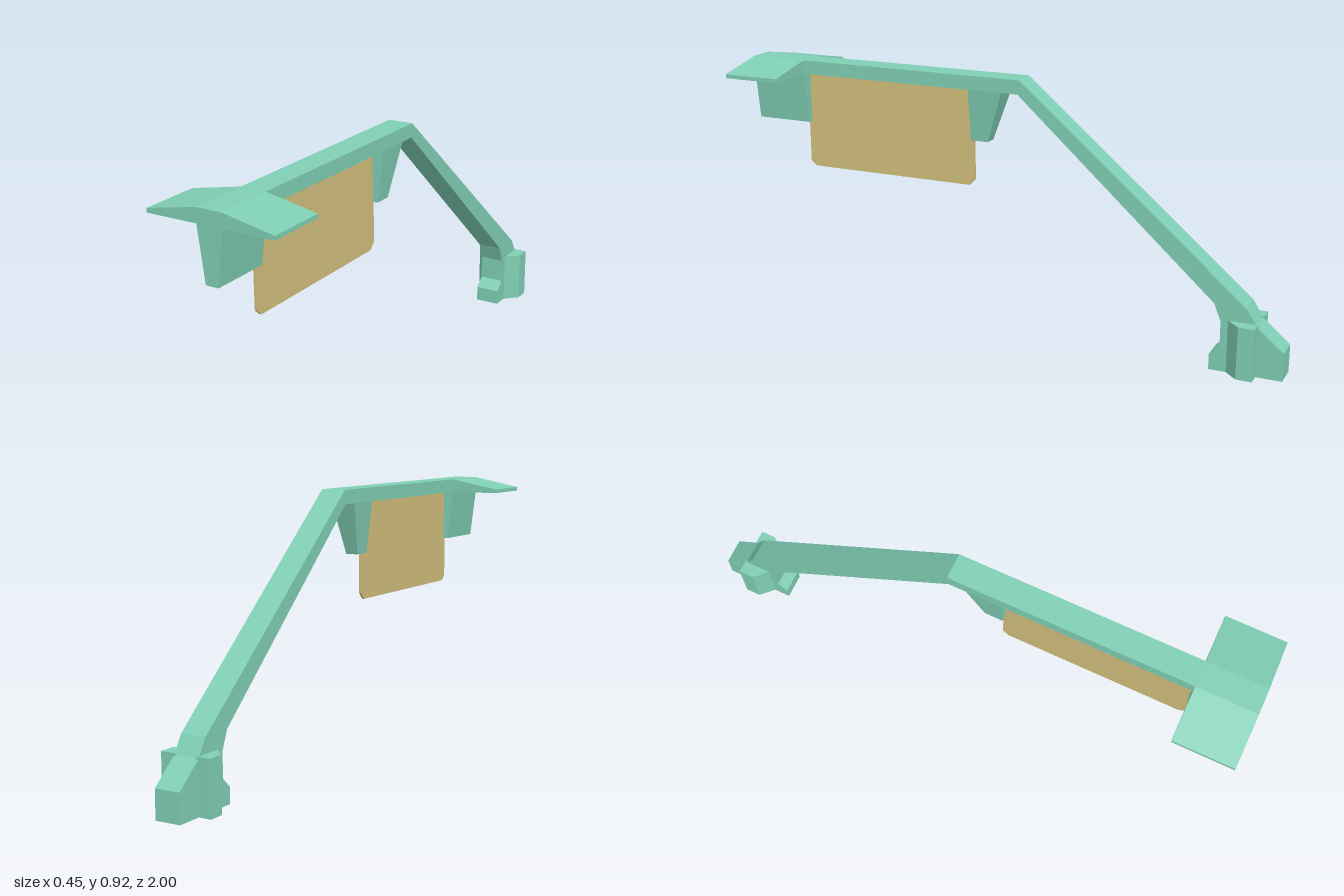
import * as THREE from 'three';

const green = new THREE.MeshStandardMaterial({ color: 0x80cfb5, flatShading: true });
const tan = new THREE.MeshStandardMaterial({ color: 0xd2be7c, flatShading: true });

const outline = (pts) => new THREE.Shape(pts.map(([a, b]) => new THREE.Vector2(a, b)));
const extrude = (pts, depth) =>
  new THREE.ExtrudeGeometry(outline(pts), { depth, bevelEnabled: false });

// Side profile given as [z, y], extruded across x and centred
function sideExtrude(pts, width) {
  return extrude(pts, width).translate(0, 0, -width / 2).rotateY(-Math.PI / 2);
}

// Bracket that narrows in x from top to bottom
function bracket(pts) {
  const top = 0.873, bottom = 0.69;
  const geo = sideExtrude(pts, 0.09);
  const p = geo.attributes.position;
  for (let i = 0; i < p.count; i++) {
    const t = (top - p.getY(i)) / (top - bottom);
    p.setX(i, p.getX(i) * THREE.MathUtils.lerp(1, 0.5, t));
  }
  geo.computeVertexNormals();
  return geo;
}

export function createModel() {
  const group = new THREE.Group();
  const add = (name, geo, mat = green) => {
    const mesh = new THREE.Mesh(geo, mat);
    mesh.name = name;
    group.add(mesh);
  };

  // Horizontal beam, sloping arm and stepped foot in one profile
  add('arm', sideExtrude([
    [0.79, 0.922], [0.79, 0.873], [-0.05, 0.873], [-0.76, 0.237], [-0.785, 0.175],
    [-0.785, 0.088], [-0.75, 0.055], [-0.75, 0], [-1, 0], [-1, 0.098],
    [-0.905, 0.178], [-0.87, 0.235], [-0.055, 0.922],
  ], 0.09));

  // Wide roof-shaped head at the front
  add('head', extrude([
    [-0.225, 0.873], [0.225, 0.873], [0.225, 0.887],
    [0.045, 0.922], [-0.045, 0.922], [-0.225, 0.887],
  ], 0.21).translate(0, 0, 0.79));

  // Brackets holding the panel
  add('frontBracket', bracket([[0.79, 0.873], [0.79, 0.69], [1, 0.69], [1, 0.873]]));
  add('rearBracket', bracket([[0.01, 0.873], [0.07, 0.69], [0.135, 0.69], [0.135, 0.873]]));

  // Thin panel with clipped lower corners
  add('panel', sideExtrude([
    [0.13, 0.873], [0.13, 0.545], [0.152, 0.522],
    [0.778, 0.522], [0.8, 0.54], [0.8, 0.873],
  ], 0.008), tan);

  // Side lugs on the foot, as [x, -z] plans
  for (const s of [1, -1]) {
    const plan = [[0.04, 0.91], [0.04, 0.805], [0.045, 0.81], [0.09, 0.855], [0.09, 0.91]];
    add(s > 0 ? 'leftLug' : 'rightLug',
      extrude(plan.map(([x, z]) => [s * x, z]), 0.184).rotateX(-Math.PI / 2));
  }
  return group;
}
